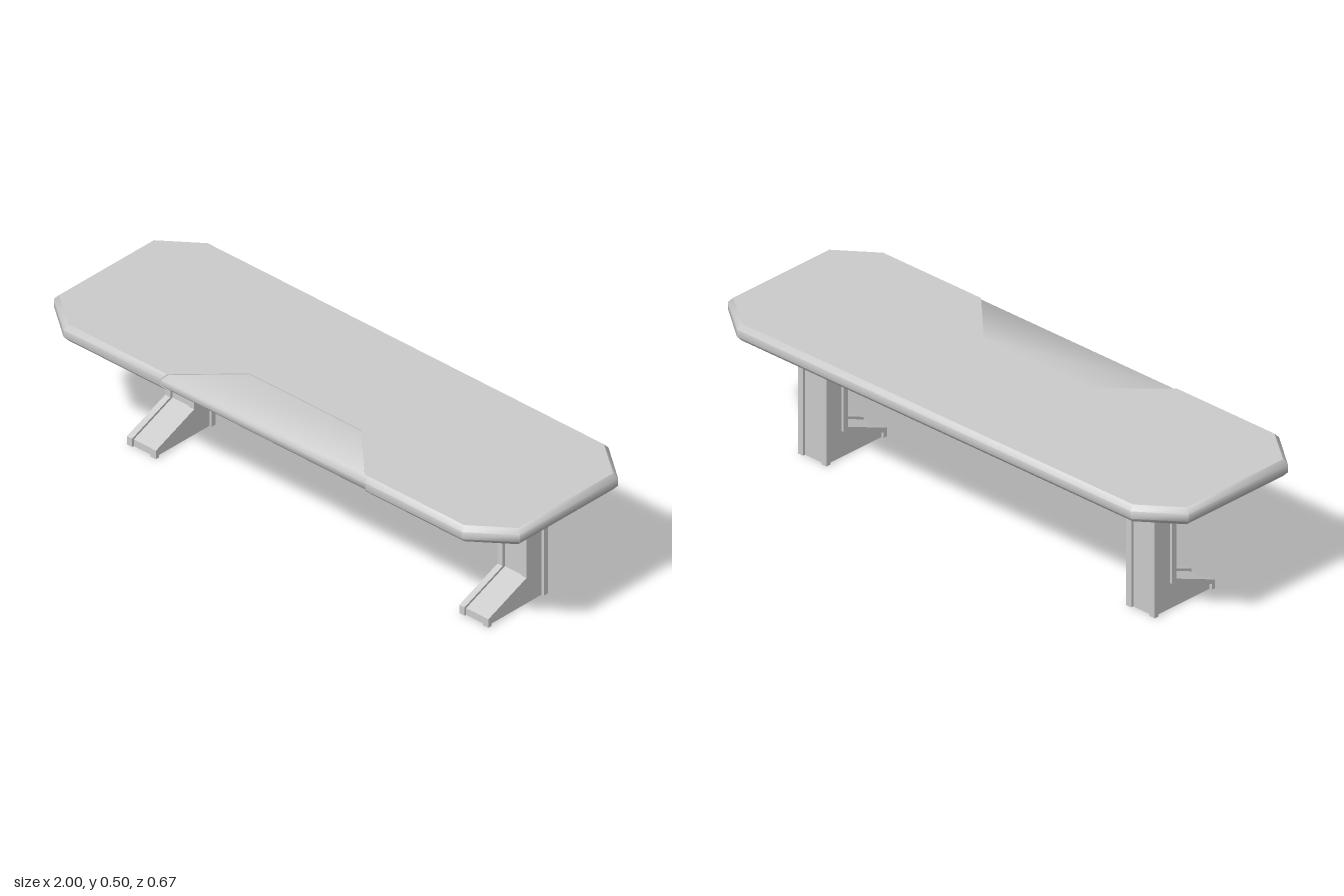
import * as THREE from 'three';
import { toCreasedNormals } from 'three/addons/utils/BufferGeometryUtils.js';

const material = new THREE.MeshStandardMaterial({ color: 0xcccccc });

// Stack of rings: ringAt(inset) gives [x, z] corners, levels are [y, inset] from bottom to top
function loft(name, ringAt, levels) {
  const rings = levels.map(([y, inset]) => ringAt(inset).map(([x, z]) => [x, y, z]));
  const n = rings[0].length, points = rings.flat(2), index = [];
  for (let k = 0; k < rings.length - 1; k++) {
    for (let i = 0; i < n; i++) {
      const a = k * n + i, b = k * n + (i + 1) % n;
      index.push(a, b, b + n, a, b + n, a + n);
    }
  }
  // Flat caps
  const cap = (ring) => THREE.ShapeUtils.triangulateShape(ring.map(([x, , z]) => new THREE.Vector2(x, -z)), []);
  const last = (rings.length - 1) * n;
  for (const [a, b, c] of cap(rings[rings.length - 1])) index.push(last + a, last + b, last + c);
  for (const [a, b, c] of cap(rings[0])) index.push(a, c, b);
  const geometry = new THREE.BufferGeometry();
  geometry.setAttribute('position', new THREE.Float32BufferAttribute(points, 3));
  geometry.setIndex(index);
  const mesh = new THREE.Mesh(toCreasedNormals(geometry, 0.83), material);
  mesh.name = name;
  return mesh;
}

// Side outline of [z, y] points, given thickness along x and centred on x
function sidePlate(name, outline, width, x) {
  const shape = new THREE.Shape(outline.map(([z, y]) => new THREE.Vector2(z, y)));
  const geometry = new THREE.ExtrudeGeometry(shape, { depth: width, bevelEnabled: false });
  geometry.translate(0, 0, -width / 2).rotateY(-Math.PI / 2).translate(x, 0, 0);
  const mesh = new THREE.Mesh(geometry, material);
  mesh.name = name;
  return mesh;
}

// Half width of the front cutout at depth z
const cutX = (z) => 0.24 + 0.2 * (z - 0.14) / 0.195;

// Eight-sided top with a tapered cutout in the front edge
function topRing(d) {
  const x1 = 0.855 - 0.33 * d, z1 = 0.335 - d, x2 = 1 - d, z2 = 0.225 - 0.5 * d, c = cutX(z1);
  return [[x1, z1], [x2, z2], [x2, -z2], [x1, -z1], [-x1, -z1], [-x2, -z2], [-x2, z2], [-x1, z1],
    [-c, z1], [-0.24, 0.14], [0.24, 0.14], [c, z1]];
}

// Panel filling the cutout, set slightly back
function panelRing(d) {
  const z = 0.332 - d, c = cutX(z);
  return [[-c, z], [c, z], [0.24, 0.14], [-0.24, 0.14]];
}

function createLeg() {
  const leg = new THREE.Group();
  const h = 0.447;
  // Core with a recess on every side
  leg.add(sidePlate('legCore', [[0.122, 0], [0.122, 0.025], [-0.055, 0.098], [-0.055, h], [-0.134, h], [-0.134, 0]], 0.105, 0));
  // Raised strips along the four edges
  for (const s of [-1, 1]) {
    leg.add(sidePlate('frontEdge', [[0.13, 0], [0.13, 0.031], [-0.045, 0.103], [-0.045, h],
      [-0.065, h], [-0.065, 0.092], [0.115, 0.02], [0.115, 0]], 0.022, s * 0.051));
    leg.add(sidePlate('backEdge', [[-0.125, 0], [-0.125, h], [-0.143, h], [-0.143, 0]], 0.022, s * 0.051));
  }
  return leg;
}

export function createModel() {
  const model = new THREE.Group();
  model.name = 'desk';
  model.add(loft('tabletop', topRing, [[0.445, 0.015], [0.462, 0], [0.488, 0], [0.505, 0.015]]));
  model.add(loft('frontPanel', panelRing, [[0.448, 0.015], [0.464, 0], [0.486, 0], [0.502, 0.015]]));
  for (const [name, x] of [['leftLeg', 0.713], ['rightLeg', -0.713]]) {
    const leg = createLeg();
    leg.name = name;
    leg.position.x = x;
    model.add(leg);
  }
  return model;
}
